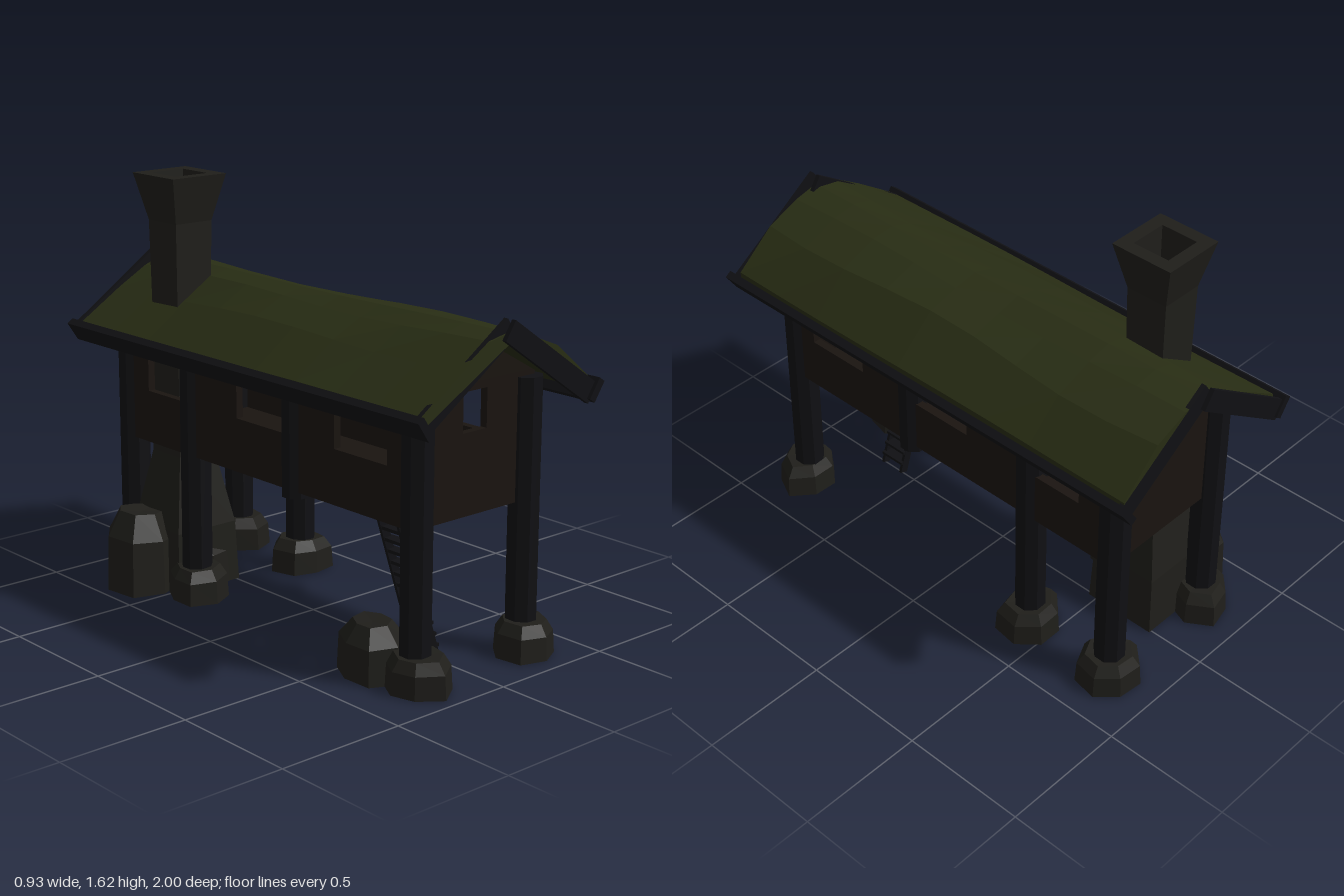
import * as THREE from 'three';

const CX = 0.025; // the house sits slightly off the origin
const mat = (color) => new THREE.MeshStandardMaterial({ color, flatShading: true, side: THREE.DoubleSide });

export function createModel() {
  const model = new THREE.Group();
  const timber = mat(0x101013), plank = mat(0x1a1410), stone = mat(0x1f1e1a), moss = mat(0x282d14);

  const add = (name, geometry, material, x = 0, y = 0, z = 0, parent = model) => {
    const mesh = new THREE.Mesh(geometry, material);
    mesh.name = name;
    mesh.position.set(x, y, z);
    parent.add(mesh);
    return mesh;
  };
  const shapeOf = (points) => new THREE.Shape(points.map(([x, y]) => new THREE.Vector2(x, y)));
  const rectHole = (shape, x0, x1, y0, y1) =>
    shape.holes.push(new THREE.Path([[x0, y0], [x0, y1], [x1, y1], [x1, y0]].map(([x, y]) => new THREE.Vector2(x, y))));
  const slab = (shape, depth, steps = 1) => new THREE.ExtrudeGeometry(shape, { depth, steps, bevelEnabled: false });

  // Faceted rock: a short lathe whose radius and top vary with the angle
  const rock = (name, x, z, rx, rz, h, seed, taper = 0.72) => {
    const profile = [[0, 0], [1, 0], [0.95, 0.68], [taper, 1], [0, 0.97]].map(([r, y]) => new THREE.Vector2(r, y));
    const geo = new THREE.LatheGeometry(profile, 7);
    const p = geo.attributes.position;
    for (let i = 0; i < p.count; i++) {
      const px = p.getX(i), pz = p.getZ(i), py = p.getY(i);
      const a = Math.atan2(px, pz);
      const k = 1 + 0.09 * Math.sin(2 * a + seed) + 0.06 * Math.sin(3 * a + seed * 2.3);
      p.setXYZ(i, px * k * rx, py * h * (1 + 0.05 * px * Math.sin(seed)), pz * k * rz);
    }
    return add(name, geo, stone, x, 0, z);
  };

  // Six tall posts on stone footings, two short posts on the side walls
  const postGeo = new THREE.CylinderGeometry(0.06, 0.06, 0.95, 8).rotateY(Math.PI / 8);
  const shortGeo = new THREE.CylinderGeometry(0.055, 0.055, 0.49, 8).rotateY(Math.PI / 8);
  let seed = 1;
  for (const side of [-1, 1]) {
    const x = CX + side * 0.262;
    for (const z of [0.805, -0.41, -0.8]) {
      add('post', postGeo, timber, x, 0.555, z);
      rock('postFooting', x, z + (z > 0 ? 0.02 : 0), 0.12, 0.12, 0.13, seed++);
    }
    add('shortPost', shortGeo, timber, x + side * 0.005, 0.795, 0.185);
  }

  // Loose boulders
  rock('frontBoulder', -0.26, 0.61, 0.12, 0.14, 0.2, 2.2, 0.55);
  rock('backBoulder', -0.32, -0.66, 0.145, 0.16, 0.31, 4.1, 0.6);
  rock('hearthStone', -0.13, -0.6, 0.15, 0.18, 0.19, 5.3, 0.6);

  // Side walls, each with three windows
  for (const side of [-1, 1]) {
    const shape = shapeOf([[-0.8, 0.575], [0.8, 0.575], [0.8, 1.05], [-0.8, 1.05]]);
    for (const u of [-0.555, -0.015, 0.525]) rectHole(shape, u - 0.135, u + 0.135, 0.78, 0.95);
    const wall = add('sideWall', slab(shape, 0.03), plank, CX + side * 0.28 - 0.015);
    wall.rotation.y = Math.PI / 2;
  }

  // Gable walls; the front one has a small window
  for (const side of [-1, 1]) {
    const shape = shapeOf([[-0.265, 0.575], [0.315, 0.575], [0.315, 1.05], [0.025, 1.21], [-0.265, 1.05]]);
    if (side > 0) rectHole(shape, -0.035, 0.08, 0.875, 1.02);
    add('gableWall', slab(shape, 0.03), plank, 0, 0, side * 0.8 - 0.015);
  }

  // Floor with a hatch above the ladder
  const floorShape = shapeOf([[-0.265, -0.8], [0.315, -0.8], [0.315, 0.8], [-0.265, 0.8]]);
  rectHole(floorShape, -0.24, -0.11, 0.54, 0.69);
  add('floor', slab(floorShape, 0.025), plank, 0, 0.6, 0).rotation.x = Math.PI / 2;

  // Uneven mossy roof
  const roofShape = shapeOf([
    [-0.37, 0.98], [0.03, 1.2], [0.43, 0.98], [0.43, 1.03], [0.27, 1.175], [0.13, 1.222],
    [0.03, 1.24], [-0.06, 1.215], [-0.19, 1.145], [-0.37, 1.02],
  ]);
  const roofGeo = slab(roofShape, 1.91, 9);
  const rp = roofGeo.attributes.position;
  for (let i = 0; i < rp.count; i++) {
    const x = rp.getX(i), z = rp.getZ(i), y = rp.getY(i);
    const top = y > 1.1 && Math.abs(x - 0.03) > 0.01 ? 1 : 0.3;
    rp.setY(i, y + 0.011 * top * Math.sin(4.3 * z + 11 * x));
    if (x > 0.2 && x < 0.3) rp.setX(i, x + 0.015 * Math.sin(5 * z));
  }
  add('mossRoof', roofGeo, moss, 0, 0, -0.95);

  // Barge boards on the gables and boards along the eaves
  const tilt = 0.596;
  const boardGeo = new THREE.BoxGeometry(0.507, 0.08, 0.018);
  const eaveGeo = new THREE.BoxGeometry(0.03, 0.085, 1.98);
  for (const side of [-1, 1]) {
    for (const [end, z] of [[1, side > 0 ? 0.977 : 0.942], [-1, side > 0 ? -0.942 : -0.977]]) {
      const board = add(end > 0 ? 'frontBargeBoard' : 'backBargeBoard', boardGeo, timber, 0.03 + side * 0.188, 1.114, z);
      board.rotation.z = -side * tilt;
    }
    const eave = add('eaveBoard', eaveGeo, timber, 0.03 + side * 0.405, 0.985, side > 0 ? 0.01 : -0.005);
    eave.rotation.z = -side * tilt;
  }

  // Square hollow chimney running from the ground through the roof
  const chimneyProfile = [
    [0.15, 0], [0.14, 0.24], [0.085, 0.53], [0.08, 1.1], [0.085, 1.44], [0.126, 1.62], [0.075, 1.62], [0.066, 1.42], [0, 1.42],
  ].map(([half, y]) => new THREE.Vector2(half * Math.SQRT2, y));
  add('chimney', new THREE.LatheGeometry(chimneyProfile, 4).rotateY(Math.PI / 4), stone, -0.138, 0, -0.615);

  // Leaning ladder
  const ladder = new THREE.Group();
  ladder.name = 'ladder';
  ladder.position.set(0, 0.005, 0.615);
  ladder.rotation.z = 0.317;
  model.add(ladder);
  const railGeo = new THREE.BoxGeometry(0.035, 0.61, 0.012);
  for (const z of [-0.05, 0.05]) add('ladderRail', railGeo, timber, 0, 0.305, z, ladder);
  const rungGeo = new THREE.BoxGeometry(0.045, 0.012, 0.11);
  for (let i = 0; i < 12; i++) {
    add('ladderRung', rungGeo, timber, 0.006, 0.05 + i * 0.048, 0, ladder).rotation.z = -0.317;
  }

  return model;
}
